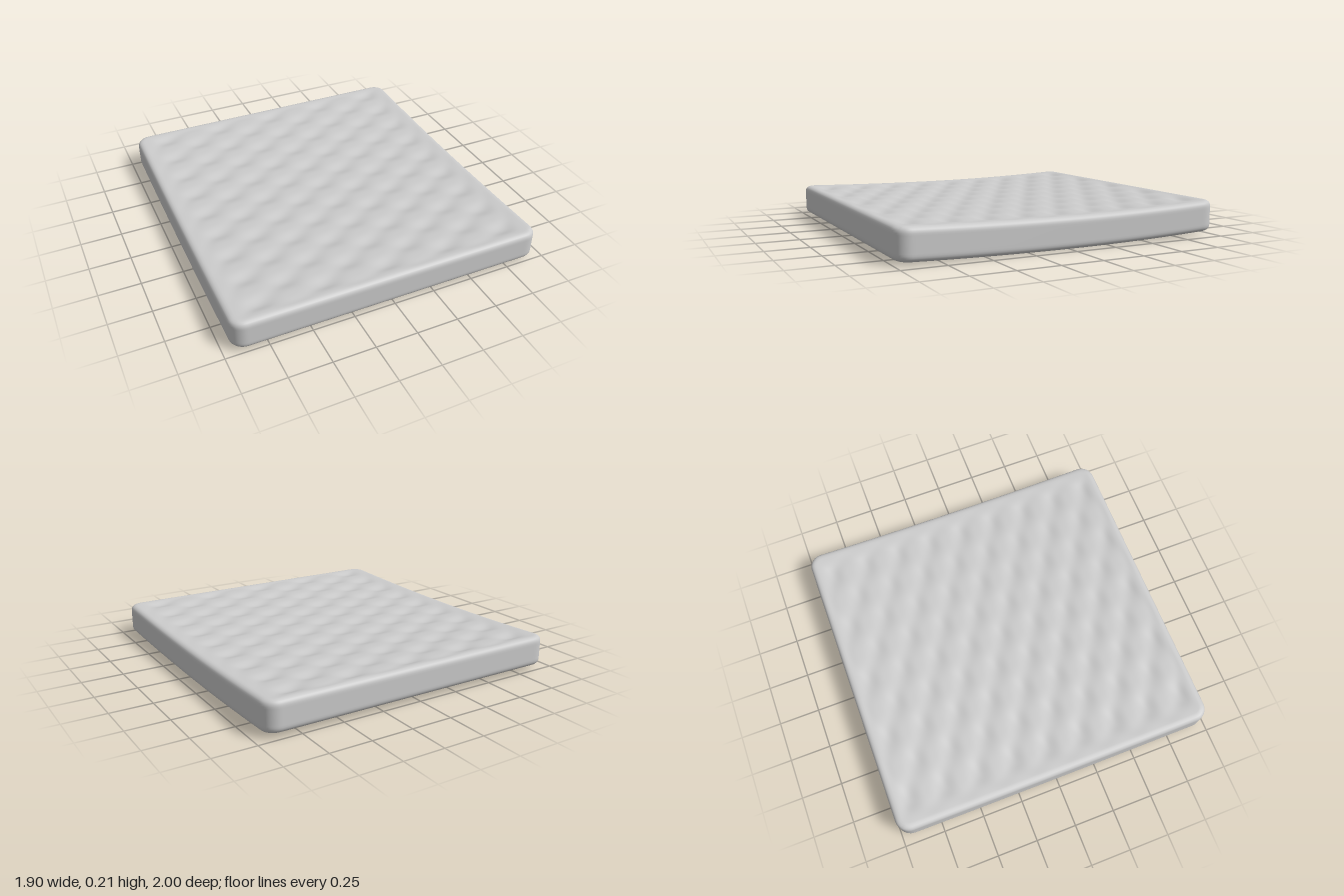
import * as THREE from 'three';
import { mergeVertices } from 'three/addons/utils/BufferGeometryUtils.js';

const HX = 0.95, HY = 0.091, HZ = 1;   // half sizes of the pad
const CORNER = 0.085, EDGE = 0.035;    // plan corner radius, edge rounding

// Tufts: a diamond lattice of dimples, fading out at the border
function tuft(x, z) {
  const u = Math.PI * (x / 0.38 + z / 0.22);
  const v = Math.PI * (x / 0.38 - z / 0.22);
  const wave = (Math.cos(u) ** 2 + Math.cos(v) ** 2) / 2;
  const fade = (1 - THREE.MathUtils.smoothstep(Math.abs(x), 0.8, 0.92))
    * (1 - THREE.MathUtils.smoothstep(Math.abs(z), 0.9, 0.98));
  return 0.016 * Math.pow(wave, 1.8) * fade;
}

// Gentle sag: both ends rise, the back slightly more
const sag = (z) => (z > 0 ? 0.019 : 0.027) * z * z;

function padGeometry() {
  let geo = new THREE.BoxGeometry(HX * 2, HY * 2, HZ * 2, 130, 16, 140);
  geo.deleteAttribute('uv');
  geo.deleteAttribute('normal');
  geo = mergeVertices(geo, 1e-5);
  const pos = geo.attributes.position;
  for (let i = 0; i < pos.count; i++) {
    let x = pos.getX(i), y = pos.getY(i), z = pos.getZ(i);
    const cx = THREE.MathUtils.clamp(x, -HX + CORNER, HX - CORNER);
    const cz = THREE.MathUtils.clamp(z, -HZ + CORNER, HZ - CORNER);
    const dx = x - cx, dz = z - cz;
    let reach = Math.max(Math.abs(dx), Math.abs(dz));
    // Round the top and bottom edges
    const a = Math.max(0, reach - (CORNER - EDGE));
    const b = Math.max(0, Math.abs(y) - (HY - EDGE));
    if (a > 0 && b > 0) {
      const s = Math.max(a, b) / Math.hypot(a, b);
      reach = CORNER - EDGE + a * s;
      y = Math.sign(y) * (HY - EDGE + b * s);
    }
    // Round the four upright corners
    const len = Math.hypot(dx, dz);
    if (len > 0) {
      x = cx + dx / len * reach;
      z = cz + dz / len * reach;
    }
    // Press in the tufts on both faces, then bend the pad
    const face = THREE.MathUtils.smoothstep(Math.abs(y), HY - EDGE, HY);
    y -= Math.sign(y) * tuft(x, z) * face;
    pos.setXYZ(i, x, y + HY + sag(z), z);
  }
  geo.computeVertexNormals();
  return geo;
}

export function createModel() {
  const group = new THREE.Group();
  group.name = 'quiltedMattress';
  const pad = new THREE.Mesh(padGeometry(), new THREE.MeshStandardMaterial({ color: 0xcccccc }));
  pad.name = 'mattressPad';
  group.add(pad);
  return group;
}
